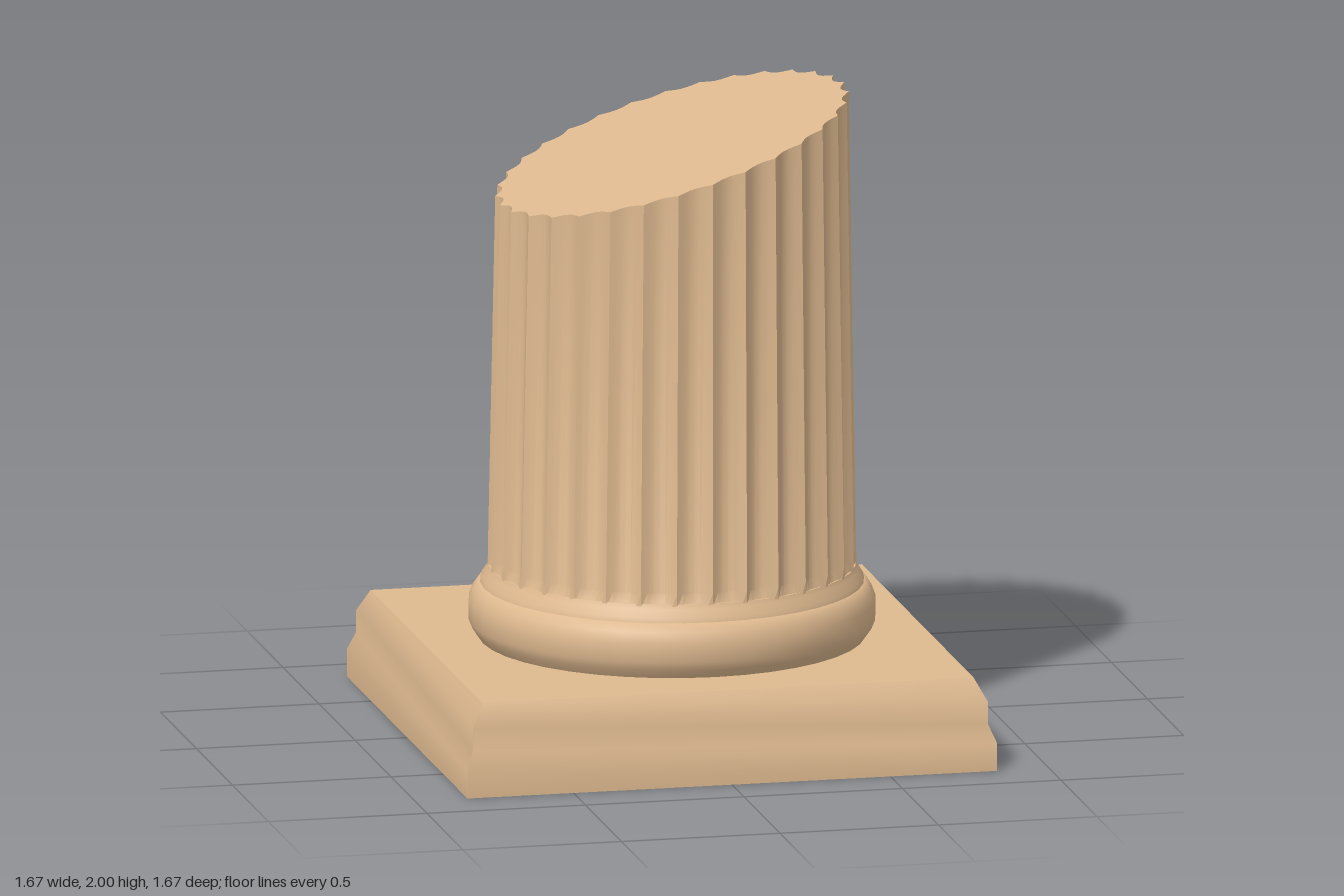
import * as THREE from 'three';
import { toCreasedNormals } from 'three/addons/utils/BufferGeometryUtils.js';

const FLUTES = 32, STEPS = 6, FLUTE_DEPTH = 0.022;

// Revolved profile given as [radius, y] pairs from bottom to top
function turned(profile, sides, scale, start, crease) {
  const points = profile.map(([r, y]) => new THREE.Vector2(r * scale, y));
  return toCreasedNormals(new THREE.LatheGeometry(points, sides, start), crease);
}

// Fluted shaft: tapers slightly in x and is cut by a sloping plane
function shaftGeometry() {
  const geo = new THREE.CylinderGeometry(1, 1, 2, FLUTES * STEPS, 2);
  const pos = geo.attributes.position;
  for (let i = 0; i < pos.count; i++) {
    const row = Math.round(pos.getY(i) + 1); // 0 foot, 1 flute start, 2 broken top
    const x = pos.getX(i), z = pos.getZ(i);
    const angle = Math.atan2(x, z);
    const depth = row === 0 ? 0 : FLUTE_DEPTH * Math.abs(Math.sin(angle * FLUTES / 2));
    const r = 0.567 - depth;
    const px = x * r * (row === 2 ? 0.958 : 1);
    const y = row === 0 ? 0.495 : row === 1 ? 0.54 : 1.834 + 0.306 * px;
    pos.setXYZ(i, px, y, z * r);
  }
  return toCreasedNormals(geo, 0.5);
}

export function createModel() {
  const stone = new THREE.MeshStandardMaterial({ color: 0xdeb98f });
  stone.name = 'sandstone';
  const model = new THREE.Group();
  model.name = 'brokenColumn';
  const add = (name, geometry) => {
    const mesh = new THREE.Mesh(geometry, stone);
    mesh.name = name;
    model.add(mesh);
  };

  // Square stepped plinth, a four-sided lathe
  add('plinth', turned([
    [0, 0], [0.835, 0], [0.835, 0.09], [0.812, 0.145],
    [0.812, 0.215], [0.775, 0.285], [0, 0.285],
  ], 4, Math.SQRT2, Math.PI / 4, 0.75));

  // Rounded ring under the shaft
  add('baseRing', turned([
    [0.595, 0.284], [0.615, 0.312], [0.627, 0.34], [0.627, 0.40],
    [0.615, 0.432], [0.597, 0.457], [0.585, 0.458],
  ], 40, 1, 0, 0.9));

  // Small flare joining ring and shaft
  add('collar', turned([
    [0.592, 0.456], [0.588, 0.472], [0.572, 0.495], [0.566, 0.51], [0.545, 0.512],
  ], 40, 1, 0, 0.9));

  add('flutedShaft', shaftGeometry());
  return model;
}
